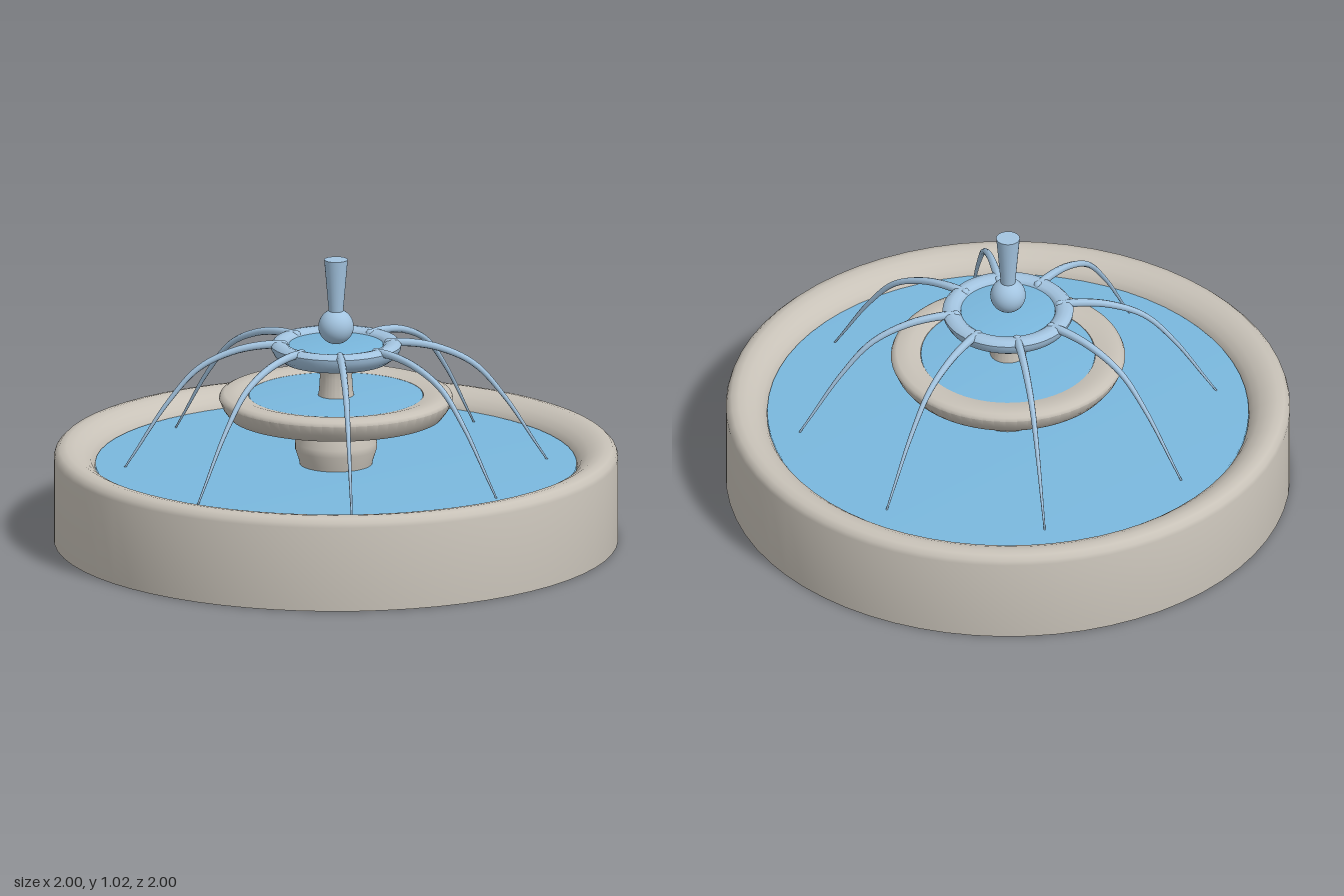
import * as THREE from 'three';
import { toCreasedNormals } from 'three/addons/utils/BufferGeometryUtils.js';

const material = (name, color) => {
  const m = new THREE.MeshStandardMaterial({ color });
  m.name = name;
  return m;
};

const SEGMENTS = 64;
const lathe = (points) =>
  new THREE.LatheGeometry(points.map(([r, y]) => new THREE.Vector2(r, y)), SEGMENTS);

export function createModel() {
  const stone = material('stone', 0xc8c2b8);
  const water = material('pool water', 0x7ab8de);
  const spray = material('spray water', 0xa3c4e0);

  const fountain = new THREE.Group();
  fountain.name = 'fountain';
  const add = (name, geometry, mat) => {
    const mesh = new THREE.Mesh(geometry, mat);
    mesh.name = name;
    fountain.add(mesh);
    return mesh;
  };
  // Turned solid with its sharp edges kept
  const turned = (name, points, mat) => add(name, toCreasedNormals(lathe(points), 0.8), mat);
  // Water surface with a softly rounded edge
  const pool = (name, r, y) => add(name, lathe([[r, y - 0.02], [r, y], [0, y]]), water);

  // Main basin with a rounded rim
  turned('basin', [[0, 0], [1, 0], [1, 0.305], [0.995, 0.32], [0.98, 0.335], [0.955, 0.34],
    [0.925, 0.335], [0.895, 0.32], [0.87, 0.3], [0.855, 0.275], [0.85, 0.25]], stone);
  pool('basinWater', 0.853, 0.28);

  // Pedestal and lower bowl
  turned('pedestal', [[0.125, 0.25], [0.13, 0.29], [0.145, 0.335], [0.145, 0.36],
    [0.125, 0.405], [0.11, 0.45]], stone);
  turned('lowerBowl', [[0, 0.435], [0.25, 0.435], [0.32, 0.442], [0.38, 0.458], [0.4, 0.485],
    [0.415, 0.52], [0.41, 0.532], [0.395, 0.54], [0.35, 0.54], [0.31, 0.53], [0.305, 0.5]], stone);
  pool('lowerBowlWater', 0.308, 0.53);

  // Upper stem and bowl
  turned('stem', [[0.068, 0.5], [0.06, 0.55], [0.057, 0.6], [0.06, 0.63], [0.07, 0.66]], stone);
  turned('upperBowl', [[0, 0.65], [0.14, 0.65], [0.19, 0.658], [0.218, 0.678], [0.23, 0.7],
    [0.232, 0.715], [0.22, 0.728], [0.2, 0.73], [0.18, 0.725], [0.168, 0.715], [0.165, 0.69]], spray);
  pool('upperBowlWater', 0.167, 0.715);

  // Finial ball and central plume
  const ball = add('finialBall', new THREE.SphereGeometry(0.063, 32, 20), spray);
  ball.position.y = 0.78;
  const plume = add('centralPlume', new THREE.CylinderGeometry(0.042, 0.025, 0.2, 24), spray);
  plume.position.y = 0.925;

  // Arcing jets, tapering toward the pool
  const path = new THREE.CatmullRomCurve3([[0.185, 0.715], [0.24, 0.718], [0.36, 0.698],
    [0.49, 0.635], [0.6, 0.51], [0.71, 0.34], [0.755, 0.27]]
    .map(([x, y]) => new THREE.Vector3(x, y, 0)));
  const rings = 32;
  const sides = 8;
  const jet = new THREE.TubeGeometry(path, rings, 0.016, sides, false);
  const position = jet.attributes.position;
  const vertex = new THREE.Vector3();
  for (let i = 0; i < position.count; i++) {
    const t = Math.floor(i / (sides + 1)) / rings;
    const centre = path.getPointAt(t);
    vertex.fromBufferAttribute(position, i).sub(centre).multiplyScalar(1 - 0.8 * t).add(centre);
    position.setXYZ(i, vertex.x, vertex.y, vertex.z);
  }
  for (let i = 0; i < 8; i++) {
    const angle = (i * Math.PI) / 4;
    add('waterJet', jet, spray).rotation.y = angle;
    // Small round nozzle closing the start of each jet
    const nozzle = add('jetNozzle', new THREE.SphereGeometry(0.017, 12, 8), spray);
    nozzle.position.set(0.187 * Math.cos(angle), 0.716, -0.187 * Math.sin(angle));
  }

  return fountain;
}
